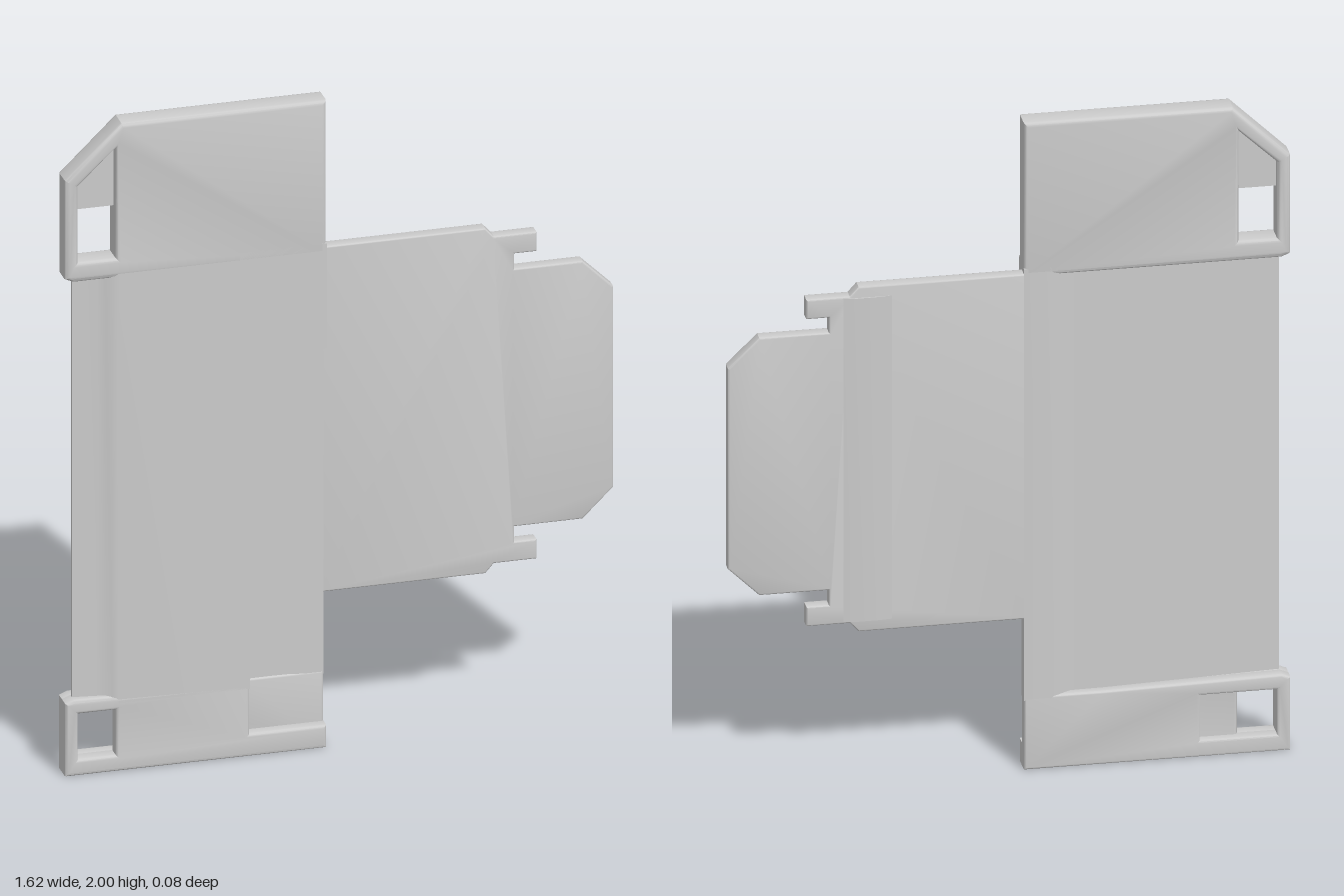
import * as THREE from 'three';
import { toCreasedNormals } from 'three/addons/utils/BufferGeometryUtils.js';

const material = new THREE.MeshStandardMaterial({ color: 0xcccccc });
const BACK = -0.039, FRONT = 0.039;
const vec = (pts) => pts.map(([x, y]) => new THREE.Vector2(x, y));

export function createModel() {
  const group = new THREE.Group();

  const add = (name, geometry) => {
    const mesh = new THREE.Mesh(toCreasedNormals(geometry, 0.6), material);
    mesh.name = name;
    group.add(mesh);
  };

  // Plate with an xy outline, running from z0 to z1, with rounded rims
  const plate = (name, outline, z0, z1, bevel, holes = []) => {
    const shape = new THREE.Shape(vec(outline));
    shape.holes = holes.map((h) => new THREE.Path(vec(h)));
    const geometry = new THREE.ExtrudeGeometry(shape, {
      depth: z1 - z0 - 2 * bevel, bevelEnabled: bevel > 0, bevelThickness: bevel,
      bevelSize: bevel, bevelOffset: -bevel, bevelSegments: 3,
    });
    add(name, geometry.translate(0, 0, z0 + bevel));
  };

  // Cross-section in x and z, running from y0 to y1
  const sweep = (name, section, y0, y1) => {
    const shape = new THREE.Shape(vec(section.map(([x, z]) => [x, -z])));
    const geometry = new THREE.ExtrudeGeometry(shape, { depth: y1 - y0, bevelEnabled: false });
    add(name, geometry.rotateX(-Math.PI / 2).translate(0, y0, 0));
  };

  const block = (name, x0, x1, y0, y1, z0, z1) =>
    add(name, new THREE.BoxGeometry(x1 - x0, y1 - y0, z1 - z0)
      .translate((x0 + x1) / 2, (y0 + y1) / 2, (z0 + z1) / 2));

  // Top block with chamfered corner and strap slot
  plate('topBlock', [
    [-0.81, 1.535], [-0.785, 1.525], [-0.045, 1.525], [-0.045, 2], [-0.645, 2], [-0.81, 1.84],
  ], BACK, FRONT, 0.013, [[[-0.772, 1.585], [-0.772, 1.82], [-0.662, 1.925], [-0.662, 1.585]]]);
  plate('topSlotWeb', [[-0.785, 1.74], [-0.65, 1.74], [-0.65, 1.945], [-0.785, 1.815]], -0.015, 0.012, 0);

  // Bottom block: the back layer forms the window sill and has a wider slot
  const slot = (x1) => [[[-0.772, 0.05], [-0.772, 0.19], [x1, 0.19], [x1, 0.05]]];
  const bottomLeft = [[-0.785, 0.235], [-0.81, 0.225], [-0.81, 0], [-0.045, 0]];
  plate('bottomBlockBack', [...bottomLeft, [-0.045, 0.225], [-0.27, 0.225]],
    BACK, 0.005, 0.007, slot(-0.55));
  plate('bottomBlockFront', [...bottomLeft, [-0.045, 0.07], [-0.27, 0.07], [-0.27, 0.225]],
    -0.012, FRONT, 0.01, slot(-0.662));

  // Front panel: pocket floor behind, outer edge stepping down in front
  sweep('frontPanel', [
    [-0.785, 0.004], [-0.27, -0.01], [-0.27, FRONT], [-0.655, FRONT],
    [-0.672, 0.036], [-0.69, 0.026], [-0.715, 0.021], [-0.785, 0.015],
  ], 0.21, 1.55);
  block('panelShoulder', -0.3, -0.045, 1.235, 1.56, -0.008, FRONT);

  // Window floor, with the side wall of the rear pocket behind it
  sweep('windowFloor', [
    [-0.045, BACK], [-0.125, BACK], [-0.145, -0.034], [-0.18, -0.013], [-0.21, -0.011], [-0.3, -0.009],
    [-0.3, 0.001], [-0.2, 0], [-0.15, 0.001], [-0.1, 0.004], [-0.045, 0.004],
  ], 0.215, 1.55);

  // Flat tongue with hooks and chamfered end, mirrored about y = 1
  const half = [
    [-0.06, 1.533], [0.43, 1.533], [0.455, 1.505], [0.58, 1.505], [0.58, 1.445],
    [0.515, 1.445], [0.515, 1.398], [0.715, 1.398], [0.805, 1.31],
  ];
  plate('tongue', [...half, ...half.map(([x, y]) => [x, 2 - y]).reverse()], -0.038, 0.003, 0.005);
  sweep('tongueRidge', [[0.3, -0.034], [0.37, -0.042], [0.44, -0.043], [0.5, -0.034]], 0.5, 1.5);

  return group;
}
